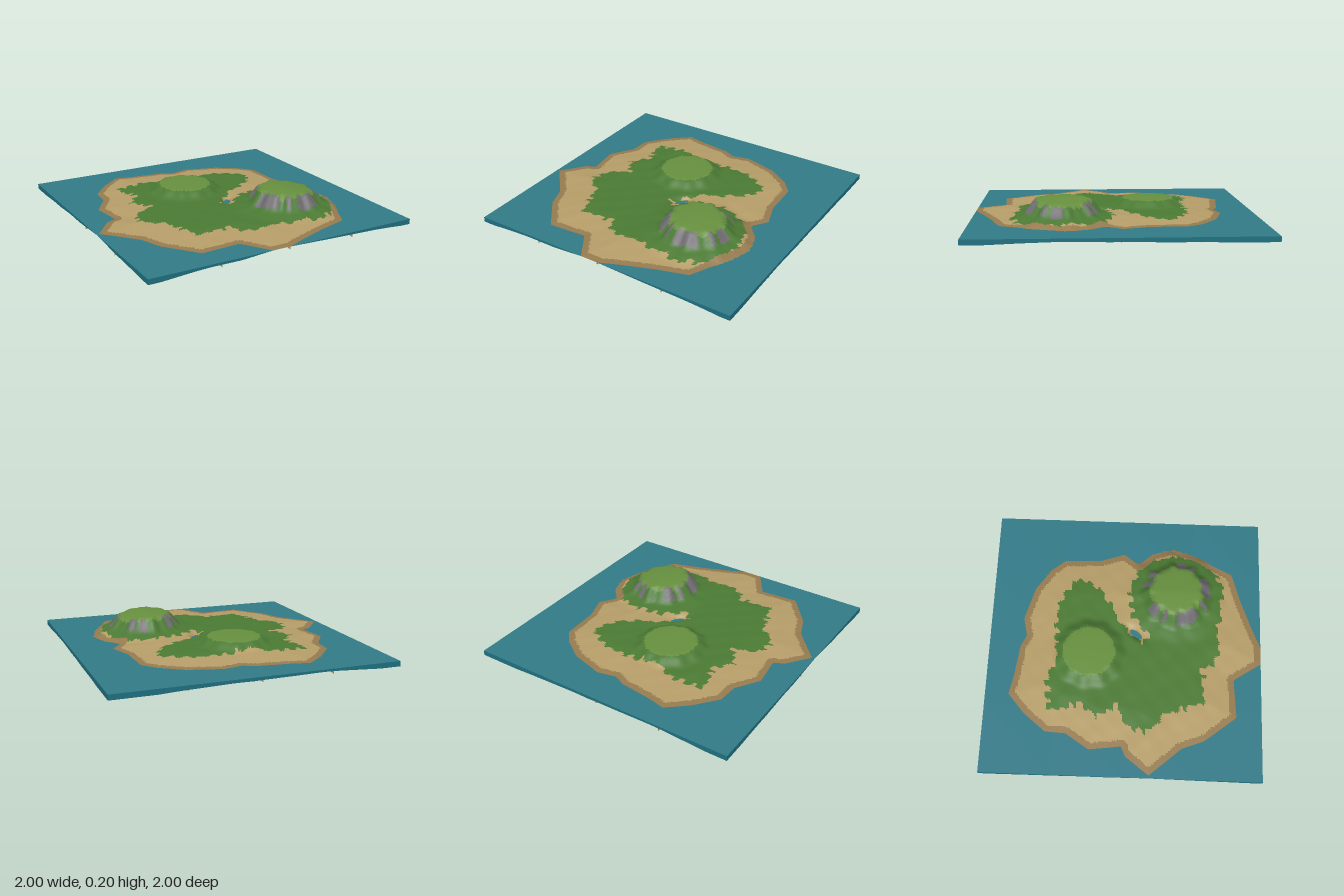
import * as THREE from 'three';

const N = 120, WATER = 0.037;
const { smoothstep, clamp } = THREE.MathUtils;

// Outlines of the coast and the grass as x, z pairs
const COAST = [
  -.42, -.83, -.28, -.8, -.05, -.77, .03, -.73, .17, -.76, .41, -.69, .57, -.58, .65, -.48, .66, -.21, .72, -.03,
  .63, .09, .73, .19, .77, .35, .72, .5, .66, .62, .58, .79, .35, .86, .14, .94, 0, 1, -.13, 1, -.26, .8,
  -.54, .82, -.72, .59, -.78, .43, -.98, .2, -.85, .03, -.78, 0, -.81, -.23, -.7, -.4, -.69, -.55, -.56, -.71];
const GRASS = [
  -.53, -.53, -.29, -.56, -.14, -.49, .17, -.52, .35, -.48, .49, -.37, .43, -.2, .25, -.1, .12, -.01, .0, .13, .05, .18,
  .2, .05, .43, .02, .63, .1, .72, .38, .65, .62, .46, .72, .03, .68, -.13, .68, -.18, .57, -.45, .59, -.53, .3,
  -.67, .2, -.66, .06, -.48, -.05, -.58, -.18, -.48, -.29];

// Signed distance to an outline, positive inside
function inside(poly, x, z) {
  let d = Infinity, within = false;
  for (let i = 0, j = poly.length - 2; i < poly.length; j = i, i += 2) {
    const ex = poly[j] - poly[i], ez = poly[j + 1] - poly[i + 1];
    const wx = x - poly[i], wz = z - poly[i + 1];
    const t = clamp((wx * ex + wz * ez) / (ex * ex + ez * ez), 0, 1);
    d = Math.min(d, Math.hypot(wx - ex * t, wz - ez * t));
    if ((poly[i + 1] > z) !== (poly[j + 1] > z) && wx < ex * wz / ez) within = !within;
  }
  return within ? d : -d;
}

// Distance and angle from a hill centre
const polar = (x, z, cx, cz) => [Math.hypot(x - cx, z - cz), Math.atan2(z - cz, x - cx)];

// Ground height: sloping seabed, low plain, flat-topped hill, rocky hill and pond
function height(x, z) {
  const s = inside(COAST, x, z);
  if (s < 0) return Math.max(0, WATER + 0.09 * s);
  let y = WATER + 0.1 * Math.min(s, 0.28) + 0.0015 * Math.sin(x * 31 + z * 9) * Math.sin(z * 27) * Math.min(1, s * 8);

  const [r1, a1] = polar(x, z, -0.1, -0.26);
  const top1 = 0.12 - 0.12 * r1 * r1;
  y += (top1 - y) * (1 - smoothstep(r1 + 0.008 * Math.sin(a1 * 11), 0.18, 0.28));

  const [r2, a2] = polar(x, z, 0.38, 0.37);
  const ridged = r2 + 0.012 * Math.sin(a2 * 9) + 0.006 * Math.sin(a2 * 17 + 1);
  const shoulder = 0.085;
  y += Math.max(0, shoulder - y) * (1 - smoothstep(ridged, 0.25, 0.4));
  const top2 = 0.197 - 0.1 * Math.max(0, x - 0.36) - 0.25 * r2 * r2;
  y += Math.max(0, top2 - y) * (1 - smoothstep(ridged, 0.17, 0.28));

  const u = (x - 0.07) * 0.6 - (z - 0.08) * 0.8, v = (x - 0.07) * 0.8 + (z - 0.08) * 0.6;
  return y - 0.05 * Math.exp(-((u / 0.07) ** 2) - (v / 0.03) ** 2);
}

// Ground cover of a face from its centre
function cover(x, y, z) {
  if (y < WATER - 0.014) return 'seabed';
  const s = inside(COAST, x, z);
  if (y < WATER || s < 0.045) return 'wetSand';
  const [r1] = polar(x, z, -0.1, -0.26), [r2, a] = polar(x, z, 0.38, 0.37);
  const patch = Math.sin(a * 5 + 0.6) + 0.7 * Math.sin(a * 13) + 0.5 * Math.sin(a - 0.6);
  if (r2 > 0.185 && r2 < 0.255 && patch > 0) return 'rock';
  if (r2 < 0.2 || r1 < 0.19) return 'hilltopGrass';
  const ragged = 0.012 * Math.sin(x * 70) + 0.012 * Math.sin(z * 95 + x * 20);
  return inside(GRASS, x, z) + ragged > 0 ? 'grass' : 'sand';
}

const COLORS = {
  seabed: 0x1b5a68, wetSand: 0x957a4e, sand: 0xb59d68, grass: 0x4b7a34, hilltopGrass: 0x668f3e, rock: 0x6e6c70
};

function addMesh(parent, name, geometry, color) {
  const material = new THREE.MeshStandardMaterial({ color, side: THREE.DoubleSide });
  const mesh = new THREE.Mesh(geometry, material);
  mesh.name = name;
  parent.add(mesh);
  return mesh;
}

// Upright strip along a straight line between two height rules
function ribbon(x0, z0, x1, z1, low, high) {
  const pos = [], index = [];
  for (let i = 0; i <= N; i++) {
    const t = i / N, x = x0 + (x1 - x0) * t, z = z0 + (z1 - z0) * t, h = height(x, z);
    pos.push(x, low(h), z, x, high(h), z);
    const a = i * 2;
    if (i < N) index.push(a, a + 2, a + 1, a + 1, a + 2, a + 3);
  }
  const g = new THREE.BufferGeometry();
  g.setAttribute('position', new THREE.Float32BufferAttribute(pos, 3));
  g.setIndex(index);
  g.computeVertexNormals();
  return g;
}

function buildTerrain() {
  const terrain = new THREE.Group();
  terrain.name = 'terrain';
  const pos = [], all = [], faces = {};
  for (let j = 0; j <= N; j++) for (let i = 0; i <= N; i++) {
    const x = -1 + 2 * i / N, z = -1 + 2 * j / N;
    pos.push(x, height(x, z), z);
  }
  const mid = (t, k) => (pos[t[0] * 3 + k] + pos[t[1] * 3 + k] + pos[t[2] * 3 + k]) / 3;
  for (let j = 0; j < N; j++) for (let i = 0; i < N; i++) {
    const a = j * (N + 1) + i, b = a + N + 1;
    for (const t of [[a, b, a + 1], [a + 1, b, b + 1]]) {
      all.push(...t);
      (faces[cover(mid(t, 0), mid(t, 1), mid(t, 2))] ??= []).push(...t);
    }
  }
  // Normals come from the whole surface so the covers join smoothly
  const surface = new THREE.BufferGeometry();
  surface.setAttribute('position', new THREE.Float32BufferAttribute(pos, 3));
  surface.setIndex(all);
  surface.computeVertexNormals();
  for (const [name, index] of Object.entries(faces)) {
    surface.setIndex(index);
    addMesh(terrain, name, surface.toNonIndexed(), COLORS[name]);
  }
  return terrain;
}

export function createModel() {
  const model = new THREE.Group();
  model.name = 'island';
  model.add(buildTerrain());

  // Water surface in tiles, left out under the two inland ones
  const water = new THREE.Group();
  water.name = 'water';
  model.add(water);
  for (let i = 0; i < 4; i++) for (let j = 0; j < 4; j++) {
    if (i === 1 && (j === 1 || j === 2)) continue;
    const tile = new THREE.PlaneGeometry(0.5, 0.5).rotateX(-Math.PI / 2);
    addMesh(water, 'waterTile', tile.translate(-0.75 + i * 0.5, WATER, -0.75 + j * 0.5), 0x327a87);
  }

  // Water walls around the edge, down to the seabed
  for (const [x0, z0, x1, z1] of [[-1, 1, 1, 1], [1, 1, 1, -1], [1, -1, -1, -1], [-1, -1, -1, 1]])
    addMesh(water, 'waterWall', ribbon(x0, z0, x1, z1, h => Math.min(h, WATER), () => WATER), 0x1f7080);

  // Hanging seams between the ground tiles
  for (const c of [-0.5, 0, 0.5]) {
    const low = h => Math.max(0, Math.min(h - 0.02, 0.026)), high = h => Math.min(h, WATER);
    addMesh(model, 'groundSeam', ribbon(c, -1, c, 1, low, high), COLORS.sand);
    addMesh(model, 'groundSeam', ribbon(-1, c, 1, c, low, high), COLORS.sand);
  }
  return model;
}
